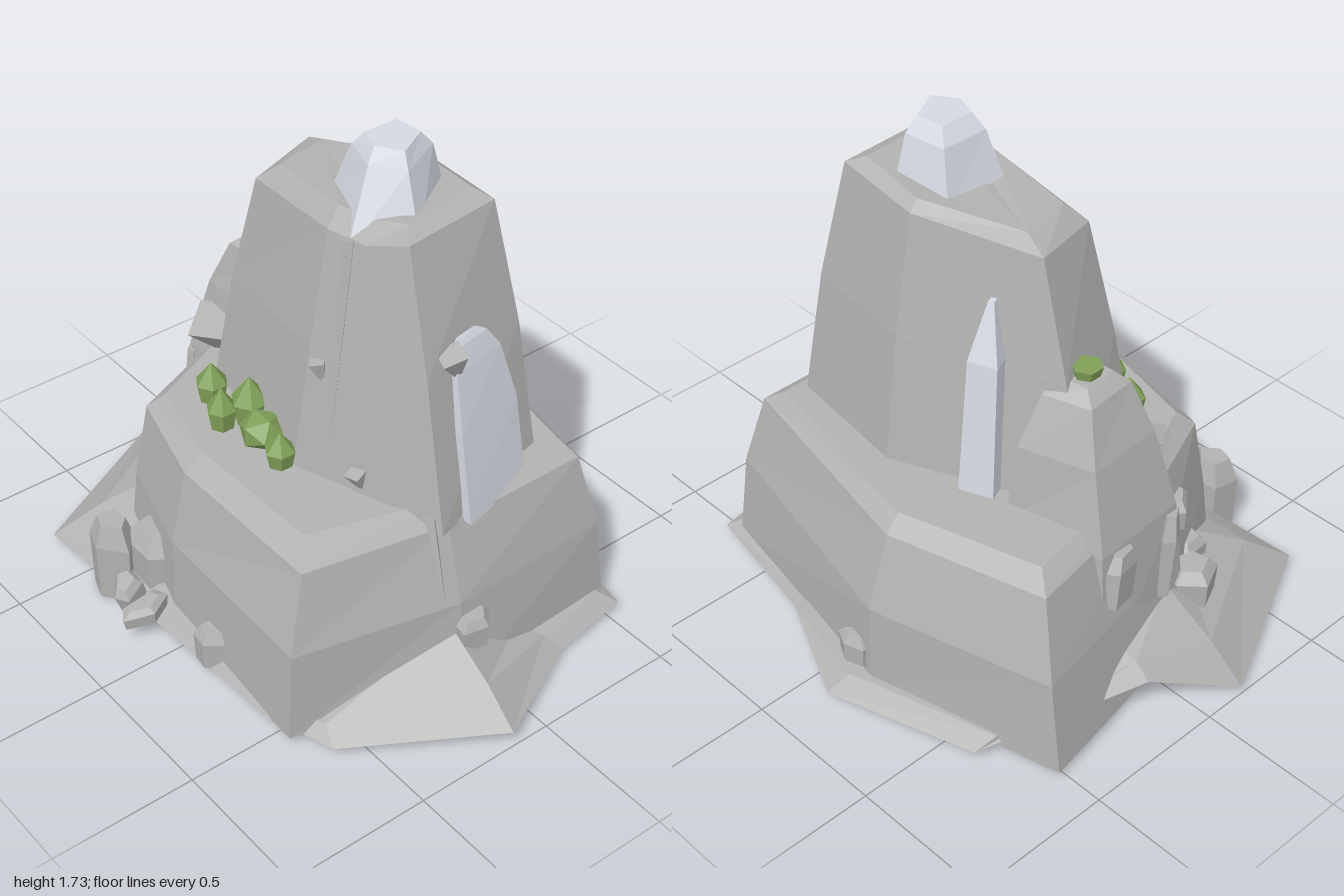
import * as THREE from 'three';

export function createModel() {
  const model = new THREE.Group();
  model.name = 'rockOutcrop';
  const material = (name, color) => {
    const m = new THREE.MeshStandardMaterial({ color, flatShading: true, side: THREE.DoubleSide });
    m.name = name;
    return m;
  };
  const stone = material('grey stone', 0xb2b2b1);
  const pale = material('pale stone', 0xd4d8e1);
  const moss = material('moss green', 0x80a058);

  const add = (name, geometry, mat, parent = model) => {
    const mesh = new THREE.Mesh(geometry, mat);
    mesh.name = name;
    parent.add(mesh);
    return mesh;
  };

  // Joins cross-sections of [x, z, y] points, listed clockwise from above, bottom first
  const loft = (rings, cap = true) => {
    const out = [];
    const put = (...pts) => pts.forEach(([x, z, y]) => out.push(x, y, z));
    for (let r = 0; r + 1 < rings.length; r++) {
      const a = rings[r], b = rings[r + 1], n = a.length;
      for (let i = 0; i < n; i++) {
        const j = (i + 1) % n;
        put(a[j], a[i], b[i]);
        put(a[j], b[i], b[j]);
      }
    }
    const top = rings[rings.length - 1];
    if (cap) for (let i = 1; i + 1 < top.length; i++) put(top[0], top[i + 1], top[i]);
    const g = new THREE.BufferGeometry();
    g.setAttribute('position', new THREE.Float32BufferAttribute(out, 3));
    g.computeVertexNormals();
    return g;
  };
  const level = (y, pts) => pts.map(([x, z, py]) => [x, z, py ?? y]);
  const mix = (a, b, t) => a.map((p, i) => p.map((v, k) => v + (b[i][k] - v) * t));
  const rect = (y, x0, x1, z0, z1) => [[x0, z0, y], [x1, z0, y], [x1, z1, y], [x0, z1, y]];

  // Sloping apron around the foot
  const apronEdge = level(0.03, [[-0.86, -0.14, 0.15], [-0.62, -0.66], [-0.11, -0.82], [0.27, -0.64], [0.75, -0.55],
    [0.8, -0.25], [1, 0.14, 0.06], [0.69, 0.6], [0.45, 0.68], [-0.36, 0.72], [-0.7, 0.74], [-1, 0.15]]);
  const apronTop = level(0.08, [[-0.72, -0.14, 0.22], [-0.68, -0.48], [-0.15, -0.62], [0.25, -0.55], [0.62, -0.42],
    [0.66, -0.17], [0.66, 0.12, 0.26], [0.52, 0.55], [0.4, 0.58], [-0.25, 0.52, 0.2], [-0.5, 0.35, 0.27], [-0.68, 0.12, 0.28]]);
  const apronMid = mix(apronEdge, apronTop, 0.4).map(([x, z, y]) => [x, z, y + 0.02]);
  add('groundApron', loft([apronEdge, apronMid, apronTop], false), stone);

  // Wide lower block with a chamfered ledge
  add('lowerBlock', loft([
    level(0.03, [[-0.86, -0.53], [-0.18, -0.7], [0.69, -0.53], [0.73, 0.1], [0.57, 0.68], [-0.1, 0.65], [-0.5, 0.55], [-0.74, 0.1]]),
    level(0.35, [[-0.81, -0.52], [-0.18, -0.69], [0.67, -0.5], [0.69, 0.1], [0.56, 0.66], [-0.1, 0.64], [-0.47, 0.53], [-0.69, 0.1]]),
    level(0.61, [[-0.72, -0.46], [-0.18, -0.61], [0.61, -0.45], [0.61, 0.09], [0.51, 0.58], [-0.1, 0.58], [-0.46, 0.48], [-0.62, 0.1]]),
    level(0.66, [[-0.65, -0.41], [-0.17, -0.55], [0.54, -0.42], [0.55, 0.08], [0.42, 0.5], [-0.09, 0.51], [-0.42, 0.43], [-0.57, 0.1]]),
  ]), stone);

  // Tall tower, tilted slightly at the top
  const foot = level(0.6, [[-0.58, -0.14], [0.05, -0.41], [0.52, -0.35], [0.63, 0.13], [0.47, 0.22], [0.13, 0.33], [-0.42, 0.24]]);
  const shoulder = [[-0.34, -0.11, 1.47], [0.05, -0.28, 1.52], [0.38, -0.25, 1.54], [0.41, 0.1, 1.53],
    [0.27, 0.15, 1.48], [0.13, 0.18, 1.48], [-0.27, 0.15, 1.45]];
  const crown = [[-0.25, -0.09, 1.51], [0.06, -0.24, 1.55], [0.32, -0.21, 1.57], [0.35, 0.06, 1.56],
    [0.25, 0.1, 1.54], [0.12, 0.13, 1.54], [-0.21, 0.1, 1.51]];
  const waist = mix(foot, shoulder, 0.55).map(([x, z, y]) => [x * 1.03, z * 1.03, y]);
  add('tower', loft([foot, waist, shoulder, crown]), stone);

  // Buttress leaning on the tower's side
  add('sideButtress', loft([
    level(0.1, [[-0.76, -0.24], [-0.38, -0.3], [-0.34, 0.2], [-0.7, 0.2]]),
    level(0.6, [[-0.71, -0.21], [-0.37, -0.29], [-0.34, 0.15], [-0.68, 0.15]]),
    level(0.87, [[-0.63, -0.17], [-0.38, -0.25], [-0.36, 0.1], [-0.61, 0.11]]),
    level(1.04, [[-0.56, -0.12], [-0.4, -0.17], [-0.37, 0.05], [-0.54, 0.07]]),
    level(1.08, [[-0.51, -0.09], [-0.4, -0.11], [-0.38, 0.02], [-0.5, 0.03]]),
  ]), stone);

  // Pale cap stone on the summit, with its front point running over the edge
  add('capStone', loft([
    level(1.48, [[-0.01, -0.18], [0.21, -0.21], [0.36, 0.02], [0.22, 0.18, 1.44], [-0.02, 0.06]]),
    level(1.68, [[0.05, -0.14], [0.2, -0.16], [0.28, 0], [0.18, 0.07], [0.05, 0.03]]),
    level(1.73, [[0.09, -0.11], [0.19, -0.12], [0.25, -0.01], [0.17, 0.04], [0.09, 0.01]]),
  ]), pale);

  // Pale slab set flat in the side face, and a narrow shard at the back
  add('sideSlab', loft([
    level(0.6, [[0.45, -0.26], [0.57, -0.26], [0.645, 0.03], [0.45, 0.03]]),
    level(0.9, [[0.4, -0.25], [0.52, -0.25], [0.585, 0.025], [0.4, 0.025]]),
    level(1.1, [[0.36, -0.2], [0.49, -0.2], [0.535, 0.01], [0.36, 0.01]]),
    level(1.17, [[0.35, -0.15], [0.48, -0.15], [0.51, 0], [0.35, 0]]),
    level(1.2, [[0.35, -0.1], [0.47, -0.1], [0.48, -0.03], [0.35, -0.03]]),
  ]), pale);
  const shard = add('backShard', loft([
    rect(0, -0.06, 0.06, -0.06, 0.1), rect(0.5, -0.05, 0.05, -0.005, 0.15), rect(0.69, -0.01, 0.01, 0.06, 0.15),
  ]), pale);
  shard.position.set(-0.25, 0.62, -0.27);
  shard.rotation.y = 0.38;

  // Thin tapering seams
  const seam = (name, x, y, z, r, h, tilt) => {
    const m = add(name, new THREE.CylinderGeometry(r, 0.002, h, 4), stone);
    m.position.set(x, y, z);
    m.rotation.set(...tilt);
  };
  seam('towerSeam', 0.24, 1.15, 0.225, 0.025, 0.68, [-0.15, 0, 0.06]);
  seam('ledgeSeam', 0.635, 0.5, 0.15, 0.02, 0.32, [0, 0, 0.27]);

  // Chamfered loose stones: x, base y, z, width, height, depth, turn, tilt
  const chunkShape = loft([[0, 0.5], [0.72, 0.54], [1, 0.34]].map(([y, r]) =>
    Array.from({ length: 5 }, (_, i) => {
      const a = i * Math.PI * 0.4 + (i % 2) * 0.25;
      return [Math.cos(a) * r, Math.sin(a) * r, y];
    })));
  const stones = new THREE.Group();
  stones.name = 'looseStones';
  model.add(stones);
  [
    [-0.37, 0, 0.7, 0.18, 0.3, 0.13, 0], [-0.25, 0.03, 0.57, 0.29, 0.26, 0.2, 0.3],
    [0.14, 0.03, 0.66, 0.13, 0.14, 0.1, 0.2], [-0.13, 0.07, 0.74, 0.1, 0.06, 0.17, 0.1, 0.1],
    [-0.25, 0.04, 0.71, 0.1, 0.1, 0.13, 1, 0.3], [0.18, 0.02, 0.64, 0.06, 0.04, 0.06, 0],
    [-0.69, 0.18, 0.23, 0.19, 0.13, 0.16, 0.6], [-0.57, 0.17, 0.34, 0.13, 0.11, 0.13, 0.2],
    [-0.58, 0.41, 0.26, 0.1, 0.1, 0.14, 0.8], [-0.71, 0.4, -0.14, 0.08, 0.19, 0.14, 0.3, 0.1],
    [-0.68, 0.28, 0.1, 0.08, 0.3, 0.12, 0.7, 0.1], [0.71, 0.19, 0.06, 0.1, 0.11, 0.14, 0.4],
    [-0.1, 0.09, -0.68, 0.14, 0.1, 0.08, 0.2],
  ].forEach(([x, y, z, w, h, d, turn, tilt = 0]) => {
    const m = add('looseStone', chunkShape, stone, stones);
    m.position.set(x, y, z);
    m.scale.set(w, h, d);
    m.rotation.set(tilt, turn, 0);
  });

  // Small wedges jutting from the walls: x, y, z, size, height
  [
    [0.18, 1.02, 0.25, 0.035, 0.08], [0.36, 0.7, 0.24, 0.04, 0.08],
    [0.52, 1.13, 0.01, 0.055, 0.1], [-0.52, 0.72, 0.14, 0.11, 0.13],
  ].forEach(([x, y, z, r, h], i) => {
    const m = add('wallWedge', new THREE.CylinderGeometry(r, r * 0.2, h, 4), stone);
    m.position.set(x, y, z);
    m.rotation.set(0.2, i, 0.15);
  });

  // Moss tufts: x, base y, z, radius, height
  const tufts = new THREE.Group();
  tufts.name = 'mossTufts';
  model.add(tufts);
  [
    [-0.31, 0.65, 0.32, 0.056, 0.15], [-0.17, 0.65, 0.38, 0.052, 0.16], [-0.14, 0.65, 0.29, 0.065, 0.18],
    [0.1, 0.65, 0.35, 0.052, 0.13],
  ].forEach(([x, y, z, r, h]) => {
    const profile = [[0.75, 0], [1, 0.5], [0, 1]].map(([a, b]) => new THREE.Vector2(a * r, b * h));
    add('pointedTuft', new THREE.LatheGeometry(profile, 6), moss, tufts).position.set(x, y, z);
  });
  const round = add('roundTuft', new THREE.IcosahedronGeometry(0.08), moss, tufts);
  round.position.set(-0.02, 0.71, 0.33);
  round.scale.y = 0.82;
  add('buttressTuft', new THREE.CylinderGeometry(0.052, 0.035, 0.06, 6), moss, tufts).position.set(-0.46, 1.085, -0.04);

  // Upright rubble filling the hollow underside
  let seed = 7;
  const random = () => (seed = (seed * 16807) % 2147483647) / 2147483647;
  const rubble = new THREE.Group();
  rubble.name = 'innerRubble';
  model.add(rubble);
  for (let i = 0; i < 44; i++) {
    const a = i * 2.4, r = Math.sqrt((i + 0.5) / 44);
    const m = add('rubbleBlock', new THREE.BoxGeometry(0.2, 0.26, 0.18), stone, rubble);
    m.position.set(Math.cos(a) * r * 0.5, 0.24 + random() * 0.12, Math.sin(a) * r * 0.43);
    m.rotation.set(random() * 0.2, random() * 3, random() * 0.2);
  }
  return model;
}
